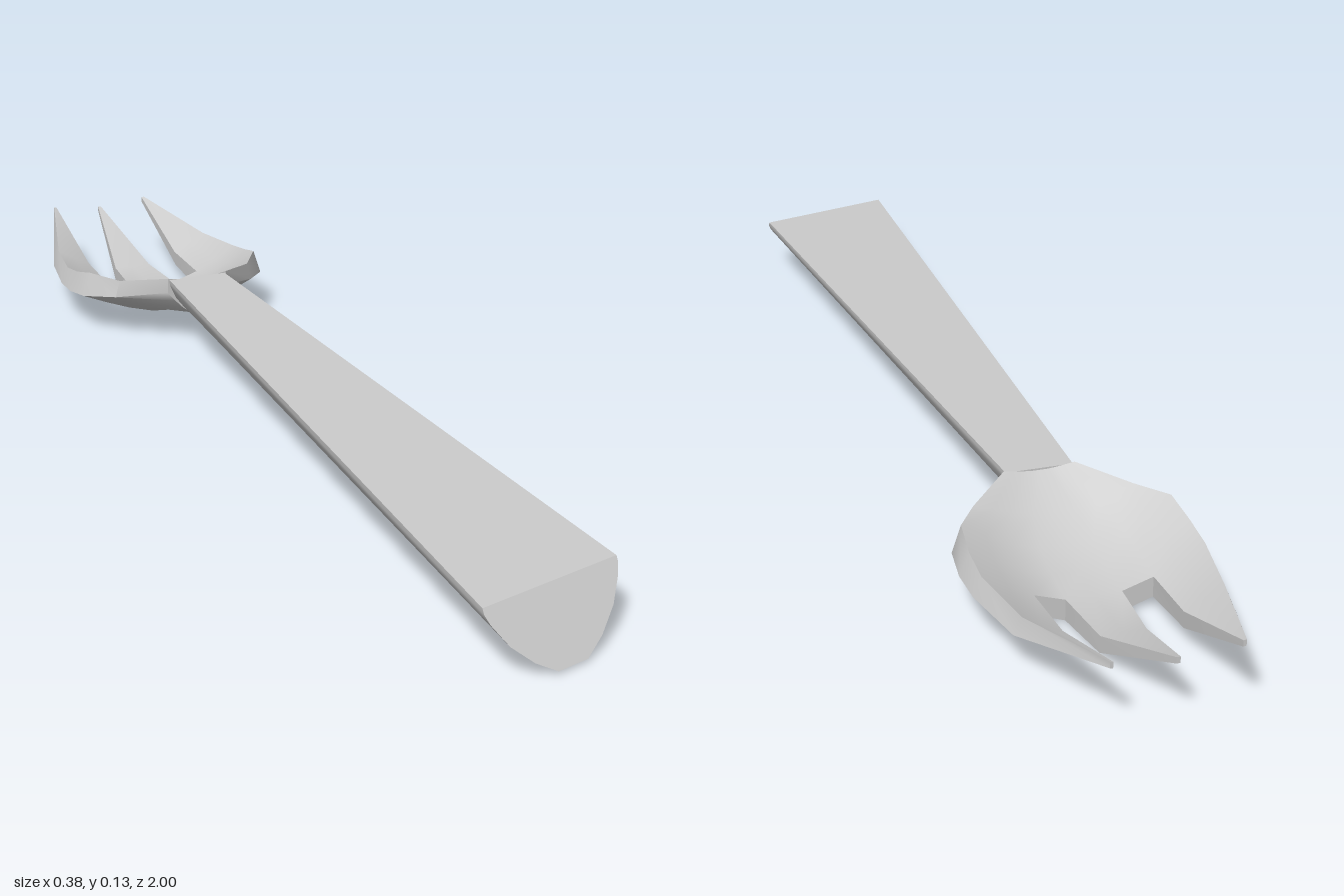
import * as THREE from 'three';
import { mergeGeometries, toCreasedNormals } from 'three/addons/utils/BufferGeometryUtils.js';

const material = new THREE.MeshStandardMaterial({ color: 0xcccccc });

// Closed solid through rings running from front to back.
// Each ring: underside left to right, then upper side right to left.
function loft(rings) {
  const n = rings[0].length, m = n / 2, last = (rings.length - 1) * n;
  const index = [];
  for (let r = 0; r < rings.length - 1; r++) {
    for (let i = 0; i < n; i++) {
      const j = (i + 1) % n, a = r * n, b = a + n;
      index.push(a + i, b + i, a + j, a + j, b + i, b + j);
    }
  }
  for (let k = 0; k < m - 1; k++) {
    const p = k, q = k + 1, s = n - 2 - k, t = n - 1 - k;
    index.push(p, q, s, p, s, t);
    index.push(last + p, last + s, last + q, last + p, last + t, last + s);
  }
  const geometry = new THREE.BufferGeometry();
  geometry.setAttribute('position', new THREE.Float32BufferAttribute(rings.flat(2), 3));
  geometry.setIndex(index);
  return geometry.toNonIndexed();
}

const mirrorList = (list) => [...list.slice(1).reverse().map((v) => -v), ...list];

// Handle: flat on top, rounded below, with a slanted front end
function handleGeometry() {
  const us = mirrorList([0, 0.22, 0.5, 0.77, 0.95, 1]);
  const lift = [0, 0, 0.19, 0.47, 0.78, 0.92];
  const ring = (w, low, high, zAt) => {
    const mid = (us.length - 1) / 2;
    const bottom = us.map((u, i) => [u * w, low + (high - low) * lift[Math.abs(i - mid)]]);
    const top = us.map((u) => [u * w, high]).reverse();
    return [...bottom, ...top].map(([x, y]) => [x, y, zAt(x, y)]);
  };
  return loft([
    ring(0.127, 0.005, 0.102, (x, y) => 0.925 - 0.28 * x + 0.73 * (0.102 - y)),
    ring(0.056, 0.06, 0.13, () => -0.43),
  ]);
}

// Head stations: z, half width, underside centre and edge, upper centre and edge, rim inset
const stations = [
  [-0.43, 0.06, 0.06, 0.105, 0.127, 0.133, 0.02],
  [-0.5, 0.14, 0.045, 0.085, 0.09, 0.117, 0.06],
  [-0.56, 0.185, 0.025, 0.075, 0.06, 0.12, 0.08],
  [-0.62, 0.192, 0.01, 0.067, 0.045, 0.105, 0.08],
  [-0.68, 0.19, 0, 0.064, 0.035, 0.095, 0.07],
  [-0.8, 0.168, 0.01, 0.062, 0.038, 0.09, 0.07],
  [-1, 0.1, 0.1, 0.11, 0.11, 0.12, 0],
];

// Ring of the dished head at one station, for the given fractions of the half width
function headRing([z, w, low, lowEdge, high, highEdge, inset], us) {
  const rise = (u) => Math.pow(Math.max(0, (Math.abs(u) - 0.25) / 0.75), 1.2);
  const bottom = us.map((u) => [u * w, low + (lowEdge - low) * rise(u), z]);
  const top = us.map((u) => {
    const shift = Math.sign(u) * inset * Math.max(0, Math.abs(u) * 2 - 1);
    return [(u - shift) * w, high + (highEdge - high) * rise(u), z];
  });
  return [...bottom, ...top.reverse()];
}

function headGeometry() {
  // Bowl
  const centre = 0.045 / 0.19;
  const us = mirrorList([0, centre, 0.5, 0.75, 1]);
  const parts = [loft(stations.slice(0, 5).map((s) => headRing(s, us)))];

  // Middle tine
  const tineStations = stations.slice(4);
  const halfWidths = [0.045, 0.036, 0.003];
  parts.push(loft(tineStations.map((s, i) => {
    const u = halfWidths[i] / s[1];
    return headRing(s, [-u, 0, u]);
  })));

  // Outer tines with straight inner edges
  for (const side of [-1, 1]) {
    parts.push(loft(tineStations.map((s) => {
      const inner = 0.095 / s[1];
      const columns = [inner, (inner + 1) / 2, 1].map((u) => u * side);
      return headRing(s, side > 0 ? columns : columns.reverse());
    })));
  }
  return mergeGeometries(parts);
}

export function createModel() {
  const group = new THREE.Group();
  group.name = 'fork';
  const parts = { handle: handleGeometry(), head: headGeometry() };
  for (const [name, geometry] of Object.entries(parts)) {
    const mesh = new THREE.Mesh(toCreasedNormals(geometry, 0.7), material);
    mesh.name = name;
    group.add(mesh);
  }
  return group;
}
